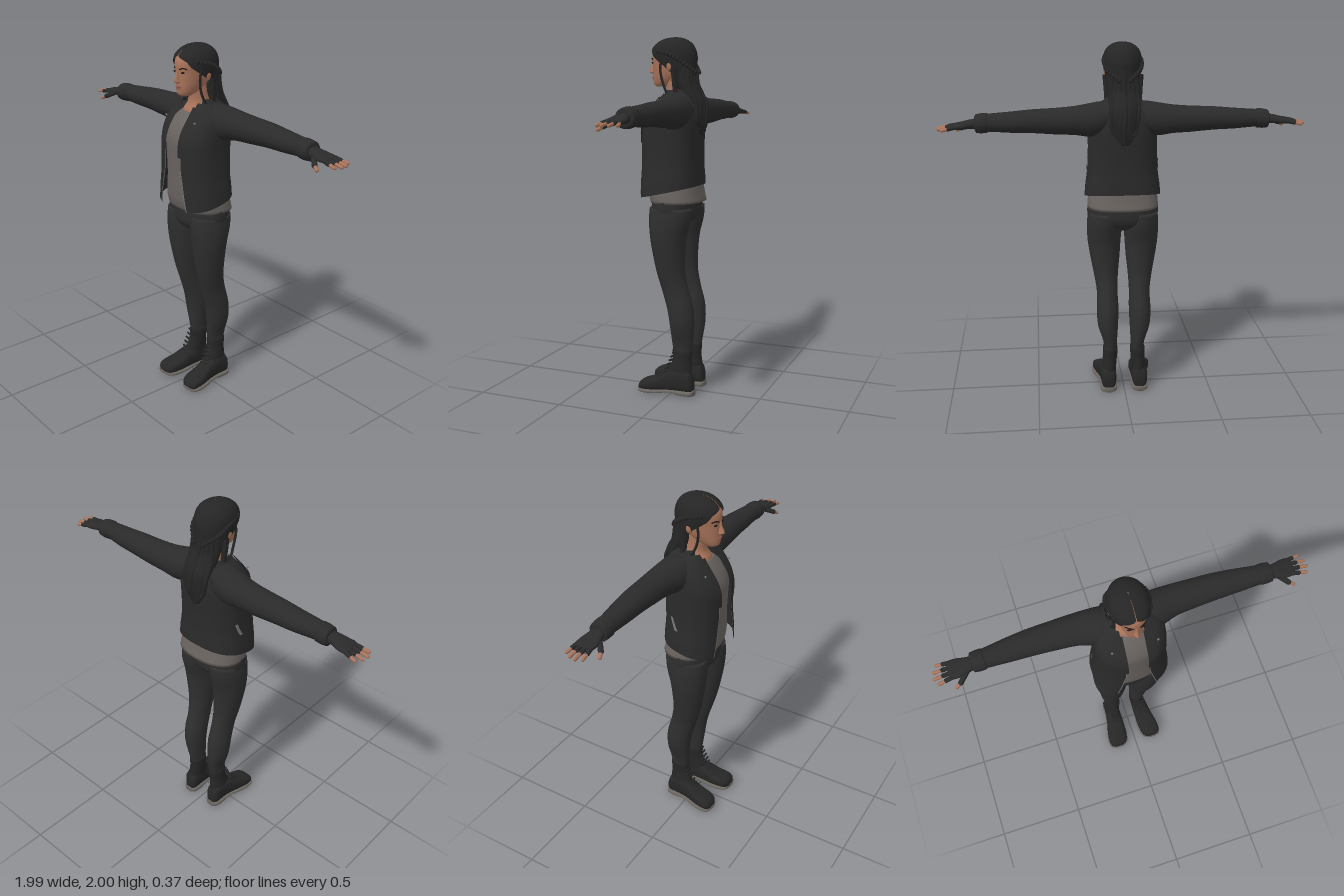
import * as THREE from 'three';

const mat = (name, color, side = THREE.FrontSide) => {
  const m = new THREE.MeshStandardMaterial({ color, side });
  m.name = name;
  return m;
};

// Hermite interpolation of rows [s, a0, a1, b0, b1] between row i and i + 1
function rowAt(rows, i, t) {
  const p = rows[i], q = rows[i + 1], h = q[0] - p[0];
  const o = rows[Math.max(i - 1, 0)], r = rows[Math.min(i + 2, rows.length - 1)];
  return p.map((v, k) => {
    if (k === 0) return v + h * t;
    const m0 = (q[k] - o[k]) / (q[0] - o[0]) * h, m1 = (r[k] - p[k]) / (r[0] - p[0]) * h;
    const t2 = t * t, t3 = t2 * t;
    return v * (2 * t3 - 3 * t2 + 1) + m0 * (t3 - 2 * t2 + t) + q[k] * (3 * t2 - 2 * t3) + m1 * (t3 - t2);
  });
}

// Skin over superelliptic sections along an axis; arc(s, radius) gives an open angular range
function loft(rows, { axis = 'y', seg = 28, sub = 4, p = 1, arc, grow = 0, from = -9, to = 9, bend } = {}) {
  const rings = [];
  for (let i = 0; i < rows.length - 1; i++)
    for (let j = 0; j < sub; j++) rings.push(rowAt(rows, i, j / sub));
  rings.push(rows[rows.length - 1]);
  const used = rings.filter(r => r[0] >= from && r[0] <= to);
  const pos = [], idx = [], n = arc ? seg + 1 : seg;
  const put = (s, u, v) => {
    const q = axis === 'y' ? [u, s, v] : axis === 'x' ? [s, u, v] : [u, v, s];
    pos.push(...(bend ? bend(...q) : q));
  };
  const pw = v => Math.sign(v) * Math.abs(v) ** p;
  for (const [s, a0, a1, b0, b1] of used) {
    const ra = (a1 - a0) / 2 + grow, rb = (b1 - b0) / 2 + grow;
    const [t0, t1] = arc ? arc(s, ra) : [0, Math.PI * 2];
    for (let k = 0; k < n; k++) {
      const th = t0 + (t1 - t0) * k / seg;
      put(s, (a0 + a1) / 2 + ra * pw(Math.sin(th)), (b0 + b1) / 2 + rb * pw(Math.cos(th)));
    }
  }
  const tri = (a, b, c) => axis === 'y' ? idx.push(a, b, c) : idx.push(a, c, b);
  for (let i = 0; i < used.length - 1; i++)
    for (let k = 0; k < seg; k++) {
      const a = i * n + k, b = i * n + (k + 1) % n;
      tri(a, b, b + n); tri(a, b + n, a + n);
    }
  if (!arc) [0, used.length - 1].forEach((r, end) => {
    const [s, a0, a1, b0, b1] = used[r], c = pos.length / 3;
    put(s, (a0 + a1) / 2, (b0 + b1) / 2);
    for (let k = 0; k < n; k++) {
      const a = r * n + k, b = r * n + (k + 1) % n;
      end ? tri(a, b, c) : tri(b, a, c);
    }
  });
  const g = new THREE.BufferGeometry();
  g.setAttribute('position', new THREE.Float32BufferAttribute(pos, 3));
  g.setIndex(idx);
  g.computeVertexNormals();
  return g;
}

const V = a => new THREE.Vector3(...a);
const ball = (c, s) => new THREE.SphereGeometry(1, 14, 10).scale(...s).translate(...c);
const tube = (pts, r) => new THREE.TubeGeometry(new THREE.CatmullRomCurve3(pts.map(V)), 20, r, 7);
function rod(a, b, r) {
  const d = V(b).sub(V(a)), g = new THREE.CapsuleGeometry(r, d.length(), 4, 10);
  g.applyQuaternion(new THREE.Quaternion().setFromUnitVectors(V([0, 1, 0]), d.clone().normalize()));
  return g.translate(...V(a).addScaledVector(d, 0.5).toArray());
}
function mirrored(g) {
  const m = g.clone().scale(-1, 1, 1), ix = m.index.array;
  for (let i = 0; i < ix.length; i += 3) [ix[i], ix[i + 1]] = [ix[i + 1], ix[i]];
  m.computeVertexNormals();
  return m;
}

export function createModel() {
  const root = new THREE.Group();
  root.name = 'figure';
  const leather = mat('jacket leather', 0x2a2a2a, THREE.DoubleSide), denim = mat('trouser cloth', 0x2e2e2e);
  const hairM = mat('hair', 0x252525, THREE.DoubleSide), boot = mat('boot leather', 0x262626);
  const shirtM = mat('shirt cloth', 0x6a6460), skin = mat('skin', 0xa8735a), lip = mat('lips', 0x8c544a);
  const eyeM = mat('eye', 0x1c1613), soleM = mat('sole rubber', 0x6a655f), metal = mat('metal', 0x777573, THREE.DoubleSide);
  const add = (name, g, m) => {
    const o = new THREE.Mesh(g, m);
    o.name = name;
    root.add(o);
  };
  const pair = (name, g, m) => { add(name + 'Left', g, m); add(name + 'Right', mirrored(g), m); };

  // Trousers
  add('pelvis', loft([[0.96, -0.05, 0.05, -0.04, 0.06], [1.0, -0.16, 0.16, -0.1, 0.11],
    [1.05, -0.198, 0.198, -0.122, 0.125], [1.16, -0.19, 0.19, -0.125, 0.125]], { p: 0.9 }), denim);
  pair('leg', loft([[0.22, 0.045, 0.112, -0.11, -0.015], [0.3, 0.04, 0.12, -0.125, -0.002], [0.4, 0.034, 0.149, -0.135, 0.006],
    [0.5, 0.03, 0.155, -0.13, 0.022], [0.6, 0.033, 0.152, -0.104, 0.052], [0.7, 0.028, 0.167, -0.083, 0.08],
    [0.8, 0.018, 0.185, -0.082, 0.1], [0.9, 0.011, 0.199, -0.09, 0.115], [1.0, 0.004, 0.202, -0.115, 0.124],
    [1.07, 0.01, 0.195, -0.12, 0.12]]), denim);

  // Boots with laces and soles
  pair('bootShaft', loft([[0.06, 0.048, 0.13, -0.12, 0.03], [0.13, 0.045, 0.128, -0.12, 0.02],
    [0.2, 0.04, 0.122, -0.115, -0.005], [0.255, 0.036, 0.122, -0.12, -0.004], [0.27, 0.042, 0.116, -0.11, -0.01]]), boot);
  pair('bootFoot', loft([[-0.132, 0.065, 0.115, 0.02, 0.09], [-0.115, 0.05, 0.132, 0.015, 0.13], [-0.05, 0.045, 0.137, 0.015, 0.15],
    [0.02, 0.044, 0.147, 0.015, 0.13], [0.08, 0.043, 0.162, 0.015, 0.097], [0.14, 0.05, 0.17, 0.015, 0.08],
    [0.172, 0.065, 0.162, 0.015, 0.064], [0.185, 0.09, 0.14, 0.02, 0.045]], { axis: 'z', p: 0.75 }), boot);
  pair('sole', loft([[-0.138, 0.065, 0.115, 0, 0.03], [-0.12, 0.047, 0.135, 0, 0.03], [-0.05, 0.043, 0.14, 0.002, 0.03],
    [-0.02, 0.046, 0.143, 0.013, 0.03], [0.02, 0.043, 0.15, 0.012, 0.03], [0.08, 0.04, 0.166, 0.004, 0.027], [0.14, 0.046, 0.174, 0.004, 0.027],
    [0.175, 0.062, 0.166, 0.008, 0.028], [0.189, 0.09, 0.14, 0.015, 0.03]], { axis: 'z', p: 0.55 }), soleM);
  for (let i = 0; i < 6; i++) {
    const y = 0.115 + i * 0.024, z = 0.05 - i * 0.011;
    pair('lace' + i, rod([0.064, y, z - 0.012], [0.112, y + 0.01, z - 0.012], 0.006), boot);
  }

  // Shirt and bare neckline
  add('shirt', loft([[1.1, -0.198, 0.198, -0.15, 0.132], [1.16, -0.194, 0.194, -0.138, 0.148], [1.3, -0.17, 0.17, -0.118, 0.155],
    [1.42, -0.168, 0.168, -0.118, 0.162], [1.5, -0.168, 0.168, -0.12, 0.163], [1.57, -0.155, 0.155, -0.12, 0.138],
    [1.62, -0.12, 0.12, -0.11, 0.105], [1.645, -0.085, 0.085, -0.09, 0.085]], { p: 0.85 }), shirtM);
  add('neck', loft([[1.6, -0.1, 0.1, -0.09, 0.085], [1.65, -0.085, 0.085, -0.085, 0.083], [1.69, -0.058, 0.058, -0.065, 0.062],
    [1.73, -0.052, 0.052, -0.06, 0.06], [1.8, -0.052, 0.052, -0.06, 0.07]]), skin);

  // Open jacket: its panels, lapels and zips share one set of sections
  const body = [[1.12, -0.212, 0.212, -0.14, 0.188], [1.2, -0.206, 0.206, -0.138, 0.188], [1.3, -0.195, 0.195, -0.134, 0.184],
    [1.42, -0.19, 0.19, -0.136, 0.183], [1.5, -0.19, 0.19, -0.14, 0.18], [1.56, -0.188, 0.188, -0.14, 0.158],
    [1.62, -0.178, 0.178, -0.132, 0.118], [1.66, -0.15, 0.15, -0.122, 0.09], [1.695, -0.1, 0.1, -0.1, 0.07]];
  const P = 0.78, T = Math.PI * 2;
  const ang = (x, r) => Math.asin(Math.min(1, x / r) ** (1 / P));
  const gap = y => 0.062 + 0.045 * Math.max(0, (1.35 - y) / 0.23);
  const slant = (x, y, z) => [x, y + 0.22 * (0.19 - z) * Math.max(0, Math.min(1, (1.32 - y) / 0.2)), z];
  const panel = (arc, o = {}) => loft(body, { p: P, arc, bend: slant, ...o });
  add('jacketBody', panel((y, r) => [ang(gap(y), r), T - ang(gap(y), r)], { seg: 56 }), leather);
  const strip = (d0, d1) => (y, r) => [ang(gap(y) + d0(y), r), ang(gap(y) + d1(y), r)];
  const flare = y => 0.008 + 0.06 * Math.max(0, Math.min(1, (y - 1.4) / 0.2));
  pair('lapel', panel(strip(() => -0.008, flare), { grow: 0.01, from: 1.4, to: 1.68, seg: 8 }), leather);
  pair('zip', panel(strip(() => 0, () => 0.005), { grow: 0.003, to: 1.44, seg: 2 }), metal);
  add('pocketZip', panel(y => [T - 1.78 - (y - 1.3) * 2, T - 1.68 - (y - 1.3) * 2],
    { grow: 0.004, from: 1.26, to: 1.38, seg: 3 }), metal);
  pair('pocketFlap', panel(() => [1.35, 1.6], { grow: 0.006, from: 1.3, to: 1.37, seg: 5 }), leather);
  pair('lapelStud', ball([0.12, 1.61, 0.128], [0.006, 0.006, 0.006]), metal);
  add('collar', loft([[1.645, -0.135, 0.135, -0.125, 0.095], [1.685, -0.11, 0.11, -0.115, 0.08], [1.715, -0.092, 0.092, -0.095, 0.06]],
    { arc: () => [0.85, T - 0.85] }), leather);

  // Sleeves and cuffs
  pair('sleeve', loft([[0.06, 1.54, 1.69, -0.12, 0.05], [0.13, 1.51, 1.69, -0.135, 0.06], [0.19, 1.505, 1.682, -0.14, 0.045],
    [0.26, 1.517, 1.672, -0.14, 0.025], [0.36, 1.523, 1.664, -0.138, 0.015], [0.49, 1.533, 1.658, -0.132, 0.008],
    [0.6, 1.536, 1.648, -0.122, 0.003], [0.7, 1.542, 1.64, -0.108, -0.002], [0.78, 1.543, 1.634, -0.1, -0.006]], { axis: 'x' }), leather);
  pair('cuff', loft([[0.72, 1.545, 1.636, -0.1, -0.006], [0.73, 1.537, 1.642, -0.108, 0.001], [0.785, 1.537, 1.636, -0.105, -0.002],
    [0.792, 1.55, 1.626, -0.094, -0.012]], { axis: 'x', sub: 2 }), leather);

  // Hands in fingerless gloves
  pair('gloveHand', loft([[0.77, 1.56, 1.615, -0.085, -0.02], [0.82, 1.56, 1.607, -0.092, -0.008], [0.86, 1.558, 1.597, -0.103, 0],
    [0.9, 1.56, 1.589, -0.104, -0.002], [0.912, 1.566, 1.582, -0.095, -0.012]], { axis: 'x', p: 0.85 }), leather);
  [[-0.092, -0.104, 0.962], [-0.067, -0.07, 0.982], [-0.04, -0.036, 0.988], [-0.014, -0.004, 0.972]].forEach(([z0, z1, tip], i) => {
    const a = [0.895, 1.575, z0], b = [tip, 1.561, z1], mid = a.map((v, k) => v + (b[k] - v) * 0.5);
    pair('gloveFinger' + i, rod(a, mid, 0.0115), leather);
    pair('fingertip' + i, rod(mid, b, 0.009), skin);
  });
  pair('gloveThumb', rod([0.825, 1.575, -0.02], [0.868, 1.552, 0.018], 0.014), leather);
  pair('thumbTip', rod([0.868, 1.552, 0.018], [0.894, 1.538, 0.03], 0.01), skin);

  // Head and face
  add('head', loft([[1.733, -0.024, 0.024, 0.06, 0.122], [1.745, -0.038, 0.038, 0.03, 0.137], [1.775, -0.055, 0.055, -0.03, 0.142],
    [1.81, -0.067, 0.067, -0.07, 0.142], [1.86, -0.076, 0.076, -0.085, 0.143], [1.89, -0.08, 0.08, -0.088, 0.146],
    [1.93, -0.08, 0.08, -0.08, 0.136], [1.97, -0.055, 0.055, -0.05, 0.09]], { p: 0.95 }), skin);
  add('nose', loft([[1.803, -0.01, 0.01, 0.12, 0.148], [1.812, -0.016, 0.016, 0.11, 0.166], [1.822, -0.012, 0.012, 0.11, 0.168],
    [1.85, -0.008, 0.008, 0.11, 0.155], [1.88, -0.008, 0.008, 0.11, 0.146]], { seg: 14 }), skin);
  add('upperLip', ball([0, 1.786, 0.14], [0.023, 0.005, 0.008]), lip);
  add('lowerLip', ball([0, 1.777, 0.139], [0.019, 0.006, 0.008]), lip);
  pair('eye', ball([0.031, 1.862, 0.134], [0.014, 0.0055, 0.006]), eyeM);
  pair('eyebrow', tube([[0.014, 1.878, 0.144], [0.034, 1.886, 0.137], [0.052, 1.88, 0.121]], 0.0035), eyeM);
  pair('ear', ball([0.087, 1.845, 0.012], [0.014, 0.032, 0.02]), skin);

  // Hair cap, open around the face
  const line = [[1.74, 1.85], [1.8, 1.6], [1.85, 1.2], [1.89, 0.8], [1.92, 0.6], [1.945, 0.02], [2.1, 0.0]];
  const edge = y => {
    const i = Math.max(1, line.findIndex(l => l[0] >= y)), [a, b] = [line[i - 1], line[i]];
    return a[1] + (b[1] - a[1]) * (y - a[0]) / (b[0] - a[0]);
  };
  add('hairCap', loft([[1.74, -0.08, 0.08, -0.115, 0.08], [1.8, -0.091, 0.091, -0.112, 0.105], [1.86, -0.1, 0.1, -0.112, 0.135],
    [1.9, -0.104, 0.104, -0.112, 0.151], [1.94, -0.098, 0.098, -0.1, 0.143], [1.97, -0.08, 0.08, -0.078, 0.115],
    [1.99, -0.05, 0.05, -0.045, 0.078], [1.997, -0.026, 0.026, -0.02, 0.045], [2.0, -0.002, 0.002, 0.008, 0.014]],
  { seg: 44, arc: y => [edge(y), T - edge(y)] }), hairM);

  // Long back hair with loose locks
  add('backHair', loft([[1.47, -0.02, 0.02, -0.155, -0.135], [1.51, -0.045, 0.045, -0.163, -0.12], [1.58, -0.066, 0.066, -0.172, -0.1],
    [1.65, -0.08, 0.08, -0.17, -0.06], [1.71, -0.085, 0.085, -0.142, -0.02], [1.77, -0.086, 0.086, -0.113, 0], [1.85, -0.08, 0.08, -0.1, 0]]), hairM);
  for (let i = -3; i <= 3; i++)
    add('backLock', tube([[i * 0.02, 1.85, -0.1 + Math.abs(i) * 0.006], [i * 0.023, 1.74, -0.118 + Math.abs(i) * 0.008],
      [i * 0.024, 1.64, -0.168 + Math.abs(i) * 0.01], [i * 0.02 + 0.006, 1.55, -0.166 + Math.abs(i) * 0.008],
      [i * 0.014, 1.48 + Math.abs(i) * 0.014, -0.148]], 0.013), hairM);
  pair('sideLock', tube([[0.092, 1.88, 0.06], [0.088, 1.82, 0.066], [0.084, 1.75, 0.052], [0.09, 1.68, 0.02]], 0.007), hairM);
  pair('neckLock', tube([[0.094, 1.83, -0.015], [0.088, 1.75, -0.02], [0.085, 1.69, -0.03], [0.088, 1.62, -0.13]], 0.017), hairM);

  // Side braids sweeping to the back of the head
  const braid = new THREE.CatmullRomCurve3([[0.088, 1.92, 0.08], [0.102, 1.9, 0.0], [0.088, 1.86, -0.065], [0.03, 1.81, -0.115]].map(V));
  for (let i = 0; i < 13; i++)
    pair('braidKnot' + i, ball(braid.getPointAt(i / 12).toArray(), [0.011, 0.013, 0.012]), hairM);
  return root;
}
